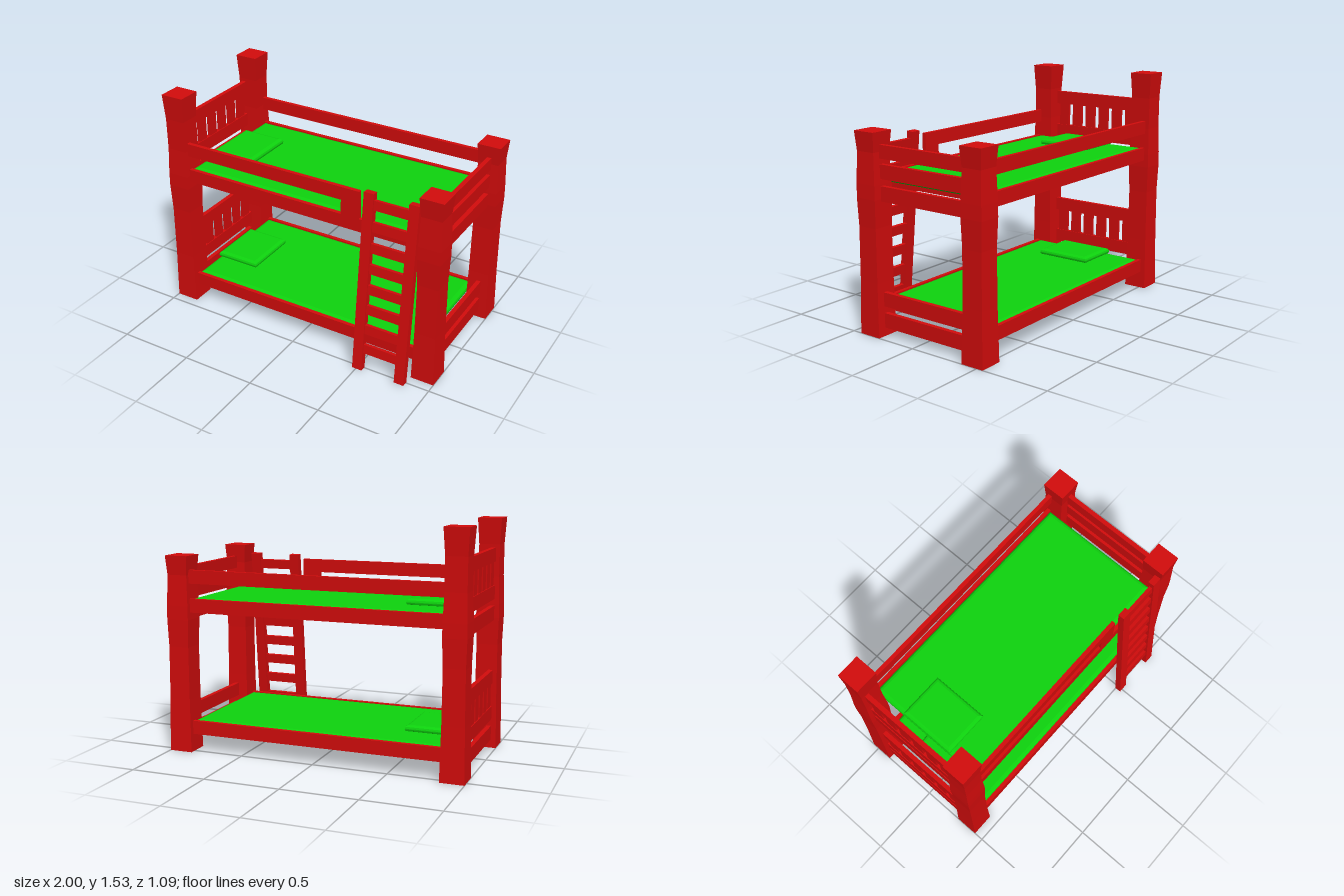
import * as THREE from 'three';

const red = new THREE.MeshStandardMaterial({ color: 0xd40c0c });
red.name = 'red wood';
const green = new THREE.MeshStandardMaterial({ color: 0x0ed40e });
green.name = 'green fabric';

const MID_Z = -0.055; // centre line of the bed, set back to leave room for the ladder
const BUNK = 0.81;    // height step from lower to upper bunk

function add(parent, name, geometry, material, x = 0, y = 0, z = 0) {
  const mesh = new THREE.Mesh(geometry, material);
  mesh.name = name;
  mesh.position.set(x, y, z);
  parent.add(mesh);
  return mesh;
}

// Board given by its ranges on each axis
function board(parent, name, [x0, x1], [y0, y1], [z0, z1]) {
  return add(parent, name, new THREE.BoxGeometry(x1 - x0, y1 - y0, z1 - z0), red,
    (x0 + x1) / 2, (y0 + y1) / 2, (z0 + z1) / 2);
}

// Square post whose width follows [height, width] rows
function postGeometry(rows) {
  const n = rows.length - 1;
  const box = new THREE.BoxGeometry(1, 1, 1, 1, n, 1);
  const p = box.attributes.position;
  for (let i = 0; i < p.count; i++) {
    const [y, w] = rows[Math.round((p.getY(i) + 0.5) * n)];
    p.setXYZ(i, p.getX(i) * w, y, p.getZ(i) * w);
  }
  const flat = box.toNonIndexed();
  flat.computeVertexNormals();
  return flat;
}

// Flat cushion with bevelled edges, resting on y = 0
function cushionGeometry(w, h, d, bevel) {
  const x = w / 2 - bevel, z = d / 2 - bevel, t = h * 0.45;
  const shape = new THREE.Shape();
  shape.moveTo(-x, -z).lineTo(x, -z).lineTo(x, z).lineTo(-x, z).closePath();
  const g = new THREE.ExtrudeGeometry(shape, {
    depth: h - 2 * t, bevelEnabled: true, bevelSize: bevel, bevelThickness: t, bevelSegments: 3,
  });
  g.rotateX(-Math.PI / 2);
  g.translate(0, t, 0);
  return g;
}

export function createModel() {
  const bed = new THREE.Group();
  bed.name = 'bunkBed';

  // Corner posts, taller at the head (-x)
  const lower = [[0, 0.157], [0.35, 0.144], [0.7, 0.14], [0.88, 0.152], [0.97, 0.15]];
  const headPost = postGeometry([...lower, [1.15, 0.137], [1.36, 0.137], [1.53, 0.157]]);
  const footPost = postGeometry([...lower, [1.17, 0.137], [1.295, 0.157]]);
  for (const z of [0.412, -0.412]) {
    add(bed, 'headPost', headPost, red, -0.9215, 0, MID_Z + z);
    add(bed, 'footPost', footPost, red, 0.9215, 0, MID_Z + z);
  }

  const ends = [-0.4, 0.3], headX = [-0.965, -0.935], footX = [0.912, 0.942];
  const frontZ = [0.373, 0.4], backZ = [-0.51, -0.483];
  for (const [name, dy] of [['lowerBunk', 0], ['upperBunk', BUNK]]) {
    const bunk = new THREE.Group();
    bunk.name = name;
    bunk.position.y = dy;
    bed.add(bunk);

    // Side rails
    for (const z of [frontZ, backZ]) board(bunk, 'sideRail', [-0.88, 0.88], [0.117, 0.206], z);

    // Rails across the head and foot
    for (const x of [headX, footX]) {
      board(bunk, 'baseRail', x, [0.055, 0.15], ends);
      board(bunk, 'endRail', x, [0.195, 0.285], ends);
    }
    // Slatted headboard
    board(bunk, 'headTopRail', headX, [0.44, 0.53], ends);
    for (let i = 0; i < 6; i++) {
      const z = 0.226 - i * 0.1115;
      board(bunk, 'headSlat', [-0.96, -0.94], [0.28, 0.445], [z - 0.038, z + 0.038]);
    }
    // Slats carrying the mattress
    for (let i = -3; i <= 3; i++) {
      board(bunk, 'bedSlat', [i * 0.25 - 0.07, i * 0.25 + 0.07], [0.125, 0.151], [-0.49, 0.38]);
    }
    // Mattress and pillow
    add(bunk, 'mattress', cushionGeometry(1.69, 0.057, 0.855, 0.03), green, 0, 0.151, MID_Z - 0.002);
    add(bunk, 'pillow', cushionGeometry(0.315, 0.048, 0.39, 0.025), green, -0.6875, 0.198, -0.05);
  }

  // Guard rails of the upper bunk, the front one stopping short of the ladder
  board(bed, 'footGuardRail', footX, [1.13, 1.215], ends);
  board(bed, 'backGuardRail', [-0.88, 0.88], [1.115, 1.203], backZ);
  board(bed, 'frontGuardRail', [-0.88, 0.43], [1.115, 1.203], frontZ);
  board(bed, 'guardUpright', [0.305, 0.43], [1.01, 1.115], frontZ);

  // Leaning ladder
  const ladder = new THREE.Group();
  ladder.name = 'ladder';
  const lean = Math.atan2(0.115, 1.225);
  ladder.position.set(0.66, 0.004, 0.52);
  ladder.rotation.x = -lean;
  bed.add(ladder);
  for (const s of [-1, 1]) {
    add(ladder, 'ladderSide', new THREE.BoxGeometry(0.067, 1.23, 0.044), red, s * 0.15, 0.615, 0);
  }
  for (let i = 0; i < 8; i++) {
    add(ladder, 'ladderRung', new THREE.BoxGeometry(0.24, 0.063, 0.024), red, 0, 0.157 + i * 0.1425, 0);
  }
  return bed;
}
